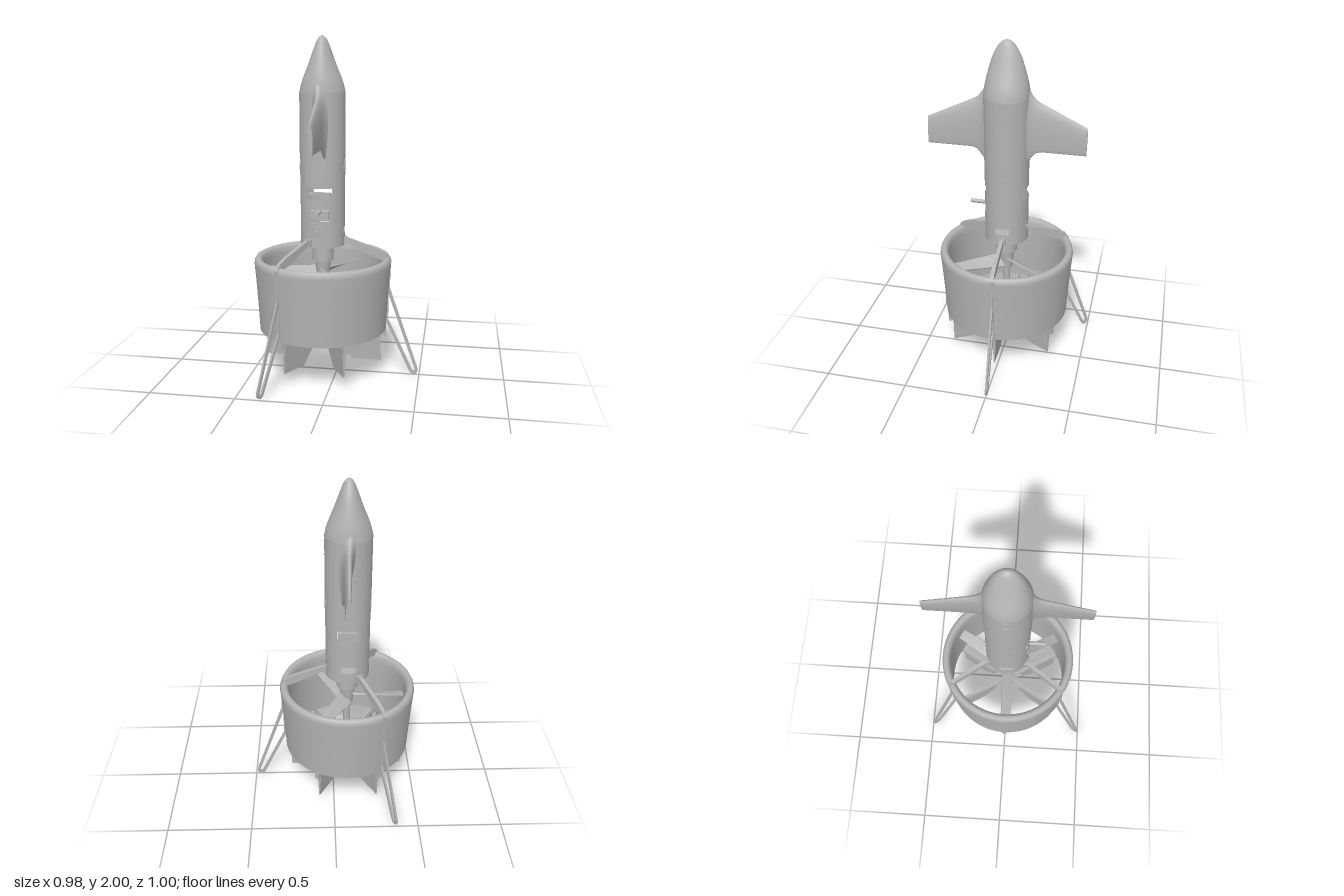
import * as THREE from 'three';

const grey = new THREE.MeshStandardMaterial({ color: 0xb4b4b4, side: THREE.DoubleSide });
grey.name = 'paintedGrey';

function add(parent, name, geo, x = 0, y = 0, z = 0) {
  const m = new THREE.Mesh(geo, grey);
  m.name = name;
  m.position.set(x, y, z);
  parent.add(m);
  return m;
}

const shapeOf = pts => new THREE.Shape(pts.map(p => new THREE.Vector2(...p)));

// Plate in the radius/height plane, centred on its thickness
function plate(shape, depth) {
  return new THREE.ExtrudeGeometry(shape, { depth, bevelEnabled: false, curveSegments: 10 })
    .translate(0, 0, -depth / 2);
}

// Open cylinder wall with rectangular holes: [angle, half width, y0, y1], angle 0 = front
function shell(r, y0, y1, step, holes) {
  const cols = 96, rows = Math.round((y1 - y0) / step);
  const g = new THREE.CylinderGeometry(r, r, y1 - y0, cols, rows, true).translate(0, (y0 + y1) / 2, 0);
  const src = g.index.array, keep = [];
  for (let k = 0; k < cols * rows; k++) {
    const a = (Math.floor(k / rows) + 0.5) / cols * Math.PI * 2;
    const y = y1 - (k % rows + 0.5) * step;
    const open = holes.some(([c, w, lo, hi]) => {
      const d = Math.atan2(Math.sin(a - c), Math.cos(a - c));
      return Math.abs(d) < w && y > lo && y < hi;
    });
    if (!open) for (let i = 0; i < 6; i++) keep.push(src[k * 6 + i]);
  }
  g.setIndex(keep);
  return g;
}

// Nose: lathe narrowed sideways toward the tip
function noseGeometry() {
  const ctrl = [[0.133, 1.68], [0.126, 1.74], [0.11, 1.81], [0.083, 1.9], [0.055, 1.956], [0.03, 1.986], [0, 2]];
  const pts = new THREE.SplineCurve(ctrl.map(p => new THREE.Vector2(...p))).getPoints(24);
  pts[24].x = 0;
  const g = new THREE.LatheGeometry(pts, 48);
  const p = g.attributes.position;
  for (let i = 0; i < p.count; i++) {
    const s = THREE.MathUtils.smoothstep(p.getY(i), 1.66, 1.96);
    p.setX(i, p.getX(i) * (1 - 0.35 * s));
  }
  g.computeVertexNormals();
  return g;
}

// Wing lofted through airfoil sections: [z, top, bottom, half thickness]
function wingGeometry(side) {
  const st = [[0.08, 1.83, 1.26, 0.085], [0.105, 1.775, 1.285, 0.07], [0.125, 1.73, 1.305, 0.05],
    [0.145, 1.695, 1.33, 0.037], [0.17, 1.667, 1.36, 0.03], [0.2, 1.65, 1.37, 0.026],
    [0.33, 1.59, 1.37, 0.02], [0.46, 1.53, 1.37, 0.015], [0.46, 1.53, 1.37, 0.015], [0.46, 1.45, 1.45, 0]];
  const n = 28, pos = [], idx = [];
  st.forEach(([z, top, bot, th], i) => {
    for (let j = 0; j < n; j++) {
      const t = j / n * Math.PI * 2;
      const y = (top + bot) / 2 + (top - bot) / 2 * Math.cos(t);
      const lean = 0.02 + (1.45 - y) * 0.09;
      pos.push(lean + th * Math.sin(t) * (0.75 + 0.35 * Math.cos(t)), y, z * side);
      if (i === st.length - 1) continue;
      const a = i * n + j, c = i * n + (j + 1) % n, b = a + n, d = c + n;
      if (side > 0) idx.push(a, b, c, c, b, d);
      else idx.push(a, c, b, c, d, b);
    }
  });
  const g = new THREE.BufferGeometry();
  g.setAttribute('position', new THREE.Float32BufferAttribute(pos, 3));
  g.setIndex(idx);
  g.computeVertexNormals();
  return g;
}

// Twisted, tapering propeller blade along +x
function bladeGeometry() {
  const g = new THREE.BoxGeometry(0.315, 0.01, 1, 10, 1, 4).translate(0.1875, 0, 0);
  const p = g.attributes.position;
  for (let i = 0; i < p.count; i++) {
    const u = (p.getX(i) - 0.03) / 0.315;
    const w = p.getZ(i) * (0.092 - 0.032 * u), a = 0.65 - 0.4 * u, h = p.getY(i);
    p.setY(i, h * Math.cos(a) + w * Math.sin(a));
    p.setZ(i, w * Math.cos(a) - h * Math.sin(a) - 0.008);
  }
  g.computeVertexNormals();
  return g;
}

// Control fin, thick at the top and thin at the lower edge
function finGeometry() {
  const g = plate(shapeOf([[0.09, 0.265], [0.1, 0.18], [0.18, 0.08], [0.35, 0.08], [0.35, 0.265]]), 0.026);
  const p = g.attributes.position;
  for (let i = 0; i < p.count; i++) p.setZ(i, p.getZ(i) * (0.2 + 0.8 * (p.getY(i) - 0.08) / 0.185));
  g.computeVertexNormals();
  return g;
}

// Looped landing leg
function legGeometry() {
  const s = shapeOf([[0.385, 0.68], [0.403, 0.68], [0.403, 0.53], [0.573, 0.045], [0.575, 0.025],
    [0.568, 0.008], [0.553, 0], [0.538, 0.004], [0.527, 0.018], [0.38, 0.33]]);
  s.holes.push(new THREE.Path([[0.394, 0.34], [0.54, 0.032], [0.549, 0.02], [0.558, 0.028], [0.557, 0.04], [0.394, 0.5]]
    .map(p => new THREE.Vector2(...p))));
  return plate(s, 0.012);
}

export function createModel() {
  const root = new THREE.Group();
  root.name = 'ductedFanAircraft';
  const craft = new THREE.Group();
  craft.name = 'aircraft';
  craft.position.x = -0.085;
  root.add(craft);
  const Q = Math.PI / 2;

  // Fuselage
  const ports = [0, 1, 2, 3].map(i => [i * Q, 0.33, 0.86, 0.9]);
  add(craft, 'lowerBody', shell(0.13, 0.79, 1.3, 0.01,
    [...ports, [0, 0.56, 1.08, 1.14], [0, 0.44, 0.95, 1.02], [Math.PI, 0.56, 1.07, 1.14]]));
  add(craft, 'upperBody', shell(0.133, 1.3, 1.68, 0.01,
    [[Q, 0.14, 1.65, 1.67], [-Q, 0.14, 1.65, 1.67], [Q, 0.14, 1.57, 1.59], [-Q, 0.14, 1.57, 1.59]]));
  add(craft, 'nose', noseGeometry());
  add(craft, 'bodyFloor', new THREE.CylinderGeometry(0.13, 0.13, 0.006, 64), 0, 0.793, 0);
  add(craft, 'bodyJoint', new THREE.CylinderGeometry(0.133, 0.133, 0.006, 64), 0, 1.303, 0);
  for (const s of [1, -1]) {
    add(craft, s > 0 ? 'frontWing' : 'backWing', wingGeometry(s));
    const hatch = add(craft, 'ovalHatch', new THREE.CylinderGeometry(0.025, 0.025, 0.008, 24), s * 0.128, 1.25, 0);
    hatch.rotation.z = Q;
    hatch.scale.x = 1.8;
  }

  // Equipment behind the body openings
  add(craft, 'slotBar', new THREE.BoxGeometry(0.13, 0.02, 0.02), 0, 1.105, 0.1);
  add(craft, 'servo', new THREE.BoxGeometry(0.11, 0.045, 0.04), 0, 0.985, 0.095);
  add(craft, 'probe', new THREE.CylinderGeometry(0.012, 0.012, 0.12, 16), 0, 1.003, 0.16).rotation.x = Q;

  // Motor, shaft and propeller
  add(craft, 'motor', new THREE.CylinderGeometry(0.063, 0.063, 0.1, 32), 0, 0.745, 0);
  add(craft, 'propellerHub', new THREE.CylinderGeometry(0.048, 0.035, 0.13, 24), 0, 0.635, 0);
  add(craft, 'shaft', new THREE.CylinderGeometry(0.022, 0.022, 0.35, 16), 0, 0.42, 0);
  add(craft, 'finHub', new THREE.CylinderGeometry(0.04, 0.032, 0.06, 12), 0, 0.25, 0);
  add(craft, 'linkageDisc', new THREE.CylinderGeometry(0.045, 0.045, 0.012, 12), 0, 0.208, 0);

  // Duct ring
  const duct = [[0.362, 0.28], [0.38, 0.28], [0.38, 0.28], [0.39, 0.45], [0.4, 0.6], [0.407, 0.68], [0.405, 0.7],
    [0.397, 0.715], [0.384, 0.721], [0.37, 0.715], [0.36, 0.7], [0.356, 0.67], [0.356, 0.58], [0.362, 0.28]];
  add(craft, 'duct', new THREE.LatheGeometry(duct.map(p => new THREE.Vector2(...p)), 72));

  // Radial parts: legs and struts every 120 degrees, blades between them, fins every 60
  const leg = legGeometry(), blade = bladeGeometry(), fin = finGeometry();
  const strut = plate(shapeOf([[0.12, 0.8], [0.145, 0.8], [0.3, 0.725], [0.37, 0.7], [0.406, 0.68], [0.408, 0.705],
    [0.385, 0.74], [0.325, 0.772], [0.15, 0.832], [0.12, 0.832]]), 0.022);
  for (let i = 0; i < 6; i++) {
    const arm = new THREE.Group();
    arm.name = 'radialArm' + (i + 1);
    arm.rotation.y = i * Math.PI / 3;
    craft.add(arm);
    add(arm, 'controlFin', fin);
    add(arm, 'finSpoke', new THREE.BoxGeometry(0.37, 0.014, 0.016), 0.195, 0.272, 0);
    add(arm, 'finClamp', new THREE.BoxGeometry(0.014, 0.055, 0.03), 0.372, 0.262, 0);
    add(arm, 'finLinkage', new THREE.BoxGeometry(0.07, 0.01, 0.01), 0.06, 0.225, 0.012);
    if (i % 2 === 0) {
      add(arm, 'landingLeg', leg);
      add(arm, 'strut', strut);
      add(arm, 'strutBracket', new THREE.BoxGeometry(0.02, 0.045, 0.04), 0.13, 0.815, 0);
    } else {
      add(arm, 'propellerBlade', blade, 0, 0.62, 0);
    }
  }
  return root;
}
